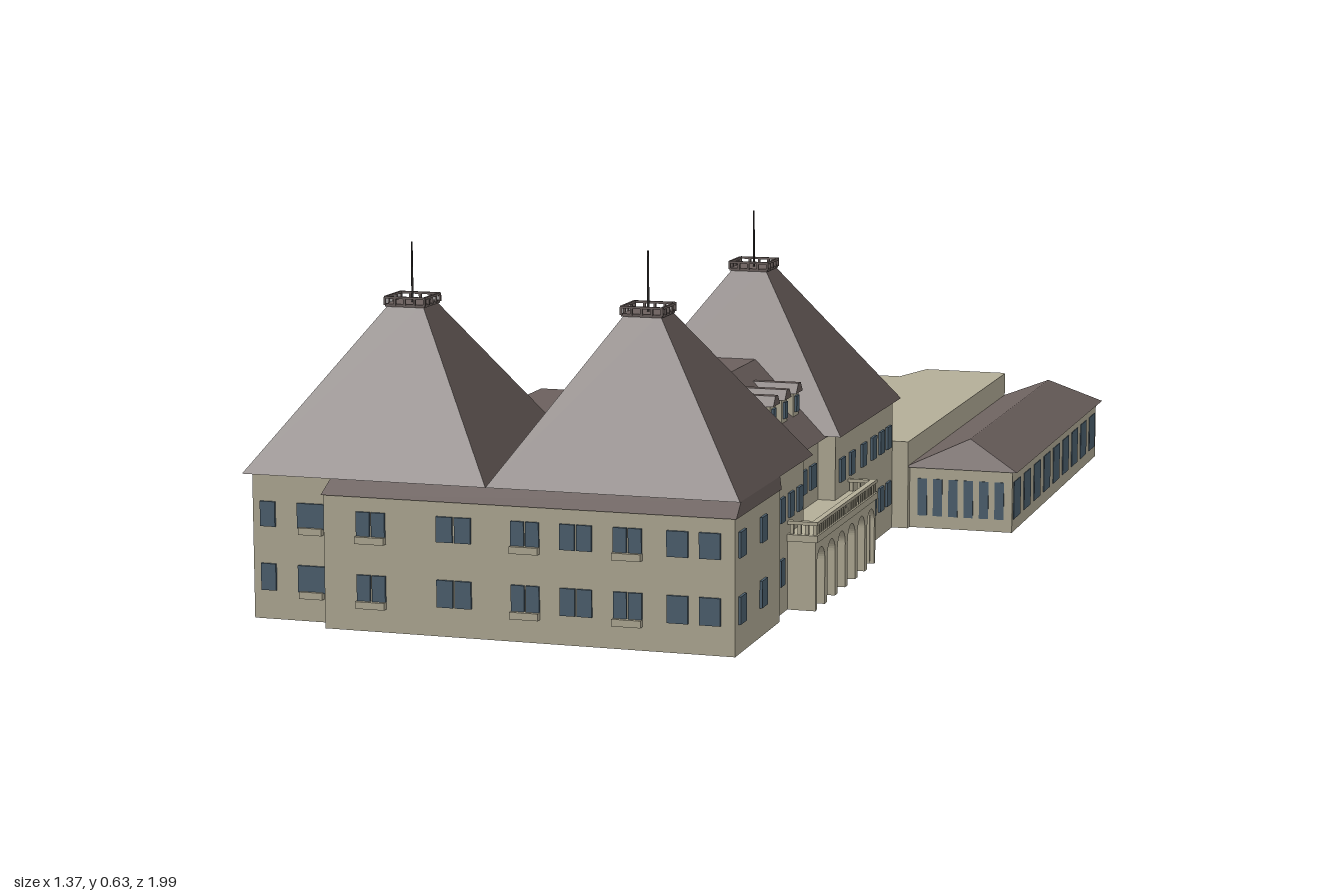
import * as THREE from 'three';

const mat = (name, color) => Object.assign(new THREE.MeshStandardMaterial({ color }), { name });

export function createModel() {
  const wall = mat('beige plaster', 0xb4ae98);
  const roof = mat('brown roof', 0x6b605d);
  const glass = mat('blue glass', 0x4e6271);
  const iron = mat('dark iron', 0x3a3635);

  // the whole site is turned 8 degrees; u = local x, v = local z
  const model = new THREE.Group();
  const site = new THREE.Group();
  site.name = 'site';
  site.rotation.y = -8 * Math.PI / 180;
  model.add(site);

  const add = (name, geo, m) => {
    const mesh = new THREE.Mesh(geo, m);
    mesh.name = name;
    site.add(mesh);
    return mesh;
  };
  const box = (name, m, u0, u1, y0, y1, v0, v1) => {
    const mesh = add(name, new THREE.BoxGeometry(u1 - u0, y1 - y0, v1 - v0), m);
    mesh.position.set((u0 + u1) / 2, (y0 + y1) / 2, (v0 + v1) / 2);
    return mesh;
  };
  // box whose top rectangle differs from its base: [u0, u1, v0, v1]
  const taper = (name, m, base, y0, top, y1) => {
    const g = new THREE.BoxGeometry(1, 1, 1);
    const p = g.attributes.position;
    for (let i = 0; i < p.count; i++) {
      const up = p.getY(i) > 0;
      const r = up ? top : base;
      p.setXYZ(i, r[p.getX(i) > 0 ? 1 : 0], up ? y1 : y0, r[p.getZ(i) > 0 ? 3 : 2]);
    }
    g.computeVertexNormals();
    return add(name, g, m);
  };

  // windows: rows of thin panes on a wall of constant v or constant u
  const ROWS = [[0.05, 0.096], [0.16, 0.203]];
  const T = 0.0045;
  const pane = (axis, at, c, w, y0, y1) => {
    if (axis === 'v') box('window', glass, c - w / 2, c + w / 2, y0, y1, at - T, at + T);
    else box('window', glass, at - T, at + T, y0, y1, c - w / 2, c + w / 2);
  };
  const windows = (axis, at, centres, w, rows = ROWS) => {
    for (const [y0, y1] of rows) for (const c of centres) pane(axis, at, c, w, y0, y1);
  };
  const spread = (a, b, n) => Array.from({ length: n }, (_, i) => a + (b - a) * i / (n - 1));

  // three towers with pyramid roofs, railed platforms and poles
  const tower = (name, u0, u1, v0, v1, cu, cv) => {
    const e = 0.013, h = 0.03;
    box(name + 'Walls', wall, u0 + e, u1 - e, 0, 0.25, v0 + e, v1 - e);
    taper(name + 'Roof', roof, [u0, u1, v0, v1], 0.25, [cu - h, cu + h, cv - h, cv + h], 0.522);
    const r = 0.036;
    box(name + 'Platform', roof, cu - r, cu + r, 0.517, 0.522, cv - r, cv + r);
    for (const s of [-1, 1]) {
      box('railing', roof, cu - r, cu + r, 0.531, 0.535, cv + s * r - 0.002, cv + s * r + 0.002);
      box('railing', roof, cu + s * r - 0.002, cu + s * r + 0.002, 0.531, 0.535, cv - r, cv + r);
      for (const d of spread(-r, r, 5)) {
        box('railingPost', roof, cu + d - 0.002, cu + d + 0.002, 0.52, 0.533, cv + s * r - 0.002, cv + s * r + 0.002);
        box('railingPost', roof, cu + s * r - 0.002, cu + s * r + 0.002, 0.52, 0.533, cv + d - 0.002, cv + d + 0.002);
      }
    }
    const pole = add('pole', new THREE.CylinderGeometry(0.0015, 0.002, 0.105, 6), iron);
    pole.position.set(cu, 0.573, cv);
  };
  tower('frontLeftTower', -0.559, -0.122, 0.48, 0.928, -0.336, 0.704);
  tower('frontRightTower', -0.122, 0.316, 0.48, 0.928, 0.089, 0.704);
  tower('backTower', -0.135, 0.317, -0.155, 0.296, 0.089, 0.068);

  // shallow front and side bays below the eaves
  box('frontBay', wall, -0.4, 0.316, 0, 0.228, 0.69, 0.955);
  taper('frontBayRoof', roof, [-0.403, 0.319, 0.69, 0.959], 0.228, [-0.4, 0.316, 0.69, 0.922], 0.25);
  box('sideBay', wall, -0.557, -0.5, 0, 0.228, 0.69, 0.89);

  // front windows: wide ones are shuttered pairs, some over a sill box
  const frontWide = [[-0.315, 0.052, 1], [-0.168, 0.062, 0], [-0.043, 0.05, 1], [0.045, 0.056, 0], [0.134, 0.05, 1]];
  for (const [y0, y1] of ROWS) {
    for (const [c, w, sill] of frontWide) {
      for (const s of [-1, 1]) pane('v', 0.955, c + s * w * 0.26, w * 0.46, y0, y1);
      if (sill) box('sillBox', wall, c - w / 2, c + w / 2, y0 - 0.01, y0 + 0.002, 0.95, 0.967);
    }
    pane('v', 0.915, -0.439, 0.05, y0, y1);
    box('sillBox', wall, -0.46, -0.418, y0 - 0.01, y0 + 0.002, 0.91, 0.925);
  }
  windows('v', 0.955, [0.219, 0.274], 0.036);
  windows('v', 0.915, [-0.518], 0.027);

  // right, left and back tower windows
  windows('u', 0.316, [0.92, 0.795], 0.034);
  windows('u', 0.303, [0.637, 0.58, 0.525], 0.027);
  windows('u', 0.304, [0.24, 0.17, 0.085, 0.01, -0.05, -0.105], 0.032);
  windows('u', -0.557, [0.73, 0.84], 0.034);
  windows('u', -0.546, [0.54, 0.63], 0.034);
  windows('v', 0.493, [-0.35, -0.27, -0.19, -0.06, 0.02, 0.1, 0.18, 0.26], 0.034);
  windows('v', 0.283, spread(-0.07, 0.25, 5), 0.034);
  windows('v', -0.142, spread(-0.08, 0.26, 5), 0.034, [[0.185, 0.22]]);

  // link between the towers, with a flat-topped roof and three dormers
  box('linkWalls', wall, -0.1, 0.272, 0, 0.25, 0.25, 0.53);
  taper('linkRoof', roof, [-0.11, 0.29, 0.19, 0.58], 0.248, [0.05, 0.133, 0.19, 0.58], 0.37);
  windows('u', 0.272, [0.325, 0.388, 0.45], 0.036);
  for (const v of [0.312, 0.387, 0.461]) {
    box('dormer', wall, 0.16, 0.238, 0.275, 0.332, v - 0.018, v + 0.018);
    pane('u', 0.238, v, 0.018, 0.296, 0.325);
    taper('dormerRoof', roof, [0.13, 0.245, v - 0.022, v + 0.022], 0.331, [0.13, 0.245, v - 0.008, v + 0.008], 0.348);
  }

  // hollow left wing with a flat roof
  box('leftWingWall', wall, -0.402, -0.396, 0, 0.228, -0.137, 0.41);
  box('leftWingBackWall', wall, -0.402, -0.13, 0, 0.228, -0.137, -0.131);
  box('leftWingCorner', wall, -0.542, -0.396, 0, 0.228, 0.417, 0.495);
  box('leftWingRoof', roof, -0.406, -0.105, 0.226, 0.237, -0.141, 0.49);
  box('leftWingCornerRoof', roof, -0.546, -0.4, 0.226, 0.237, 0.412, 0.49);
  windows('u', -0.399, spread(-0.09, 0.36, 7), 0.036);
  windows('v', -0.134, [-0.35, -0.28], 0.034);
  windows('v', 0.417, [-0.47], 0.034);

  // arcade porch: outline runs along the ground through six arches
  const v0 = 0.18, v1 = 0.596, n = 6, pitch = (v1 - v0) / n, r = 0.026;
  const arcade = new THREE.Shape();
  arcade.moveTo(-v1, 0.13).lineTo(-v0, 0.13).lineTo(-v0, 0);
  for (let i = 0; i < n; i++) {
    const c = -v0 - pitch * (i + 0.5);
    arcade.lineTo(c + r, 0).lineTo(c + r, 0.08);
    arcade.absarc(c, 0.08, r, 0, Math.PI, false);
    arcade.lineTo(c - r, 0);
  }
  arcade.lineTo(-v1, 0);
  const arcadeGeo = new THREE.ExtrudeGeometry(arcade, { depth: 0.015, bevelEnabled: false, curveSegments: 10 });
  arcadeGeo.rotateY(Math.PI / 2);
  add('arcade', arcadeGeo, wall).position.x = 0.338;
  box('porchDeck', wall, 0.27, 0.357, 0.12, 0.132, v0 - 0.003, v1 + 0.003);
  for (const [a, b] of [[v0, v0 + 0.012], [v1 - 0.012, v1]]) {
    box('porchEndWall', wall, 0.27, 0.345, 0, 0.125, a, b);
    box('balustradeRail', wall, 0.29, 0.356, 0.149, 0.155, a, b);
    for (const u of spread(0.296, 0.35, 5)) box('baluster', wall, u - 0.003, u + 0.003, 0.13, 0.15, a + 0.003, b - 0.003);
  }
  box('balustradeRail', wall, 0.345, 0.356, 0.149, 0.155, v0, v1);
  for (const v of spread(v0 + 0.006, v1 - 0.006, 31)) box('baluster', wall, 0.347, 0.354, 0.13, 0.15, v - 0.003, v + 0.003);

  // solid flat-roofed hall at the back
  const hall = new THREE.Shape([
    [-0.238, 0.143], [0.335, 0.143], [0.335, 1.02], [0.327, 1.027], [0.16, 1.03], [0.128, 0.917], [-0.215, 0.921],
  ].map(([u, v]) => new THREE.Vector2(u, v)));
  const hallGeo = new THREE.ExtrudeGeometry(hall, { depth: 0.168, bevelEnabled: false });
  hallGeo.rotateX(-Math.PI / 2);
  add('hall', hallGeo, wall);

  // hollow gallery with a hipped roof along the hall
  const g = { u0: 0.335, u1: 0.535, v0: -1.01, v1: -0.158 };
  box('galleryRightWall', wall, g.u1 - 0.006, g.u1, 0, 0.12, g.v0, g.v1);
  box('galleryLeftWall', wall, g.u0, g.u0 + 0.006, 0, 0.12, g.v0, g.v1);
  box('galleryFrontWall', wall, g.u0, g.u1, 0, 0.12, g.v1 - 0.006, g.v1);
  box('galleryBackWall', wall, g.u0, g.u1, 0, 0.12, g.v0, g.v0 + 0.006);
  taper('galleryRoof', roof, [0.327, 0.546, -1.023, -0.147], 0.118, [0.441, 0.443, -0.959, -0.206], 0.168);
  const tall = [[0.024, 0.096]];
  windows('u', g.u1 - 0.003, spread(-0.2, -0.965, 9), 0.062, tall);
  windows('v', g.v1 - 0.003, spread(0.36, 0.51, 6), 0.018, tall);
  windows('v', g.v0 + 0.003, spread(0.36, 0.51, 6), 0.018, tall);

  return model;
}
